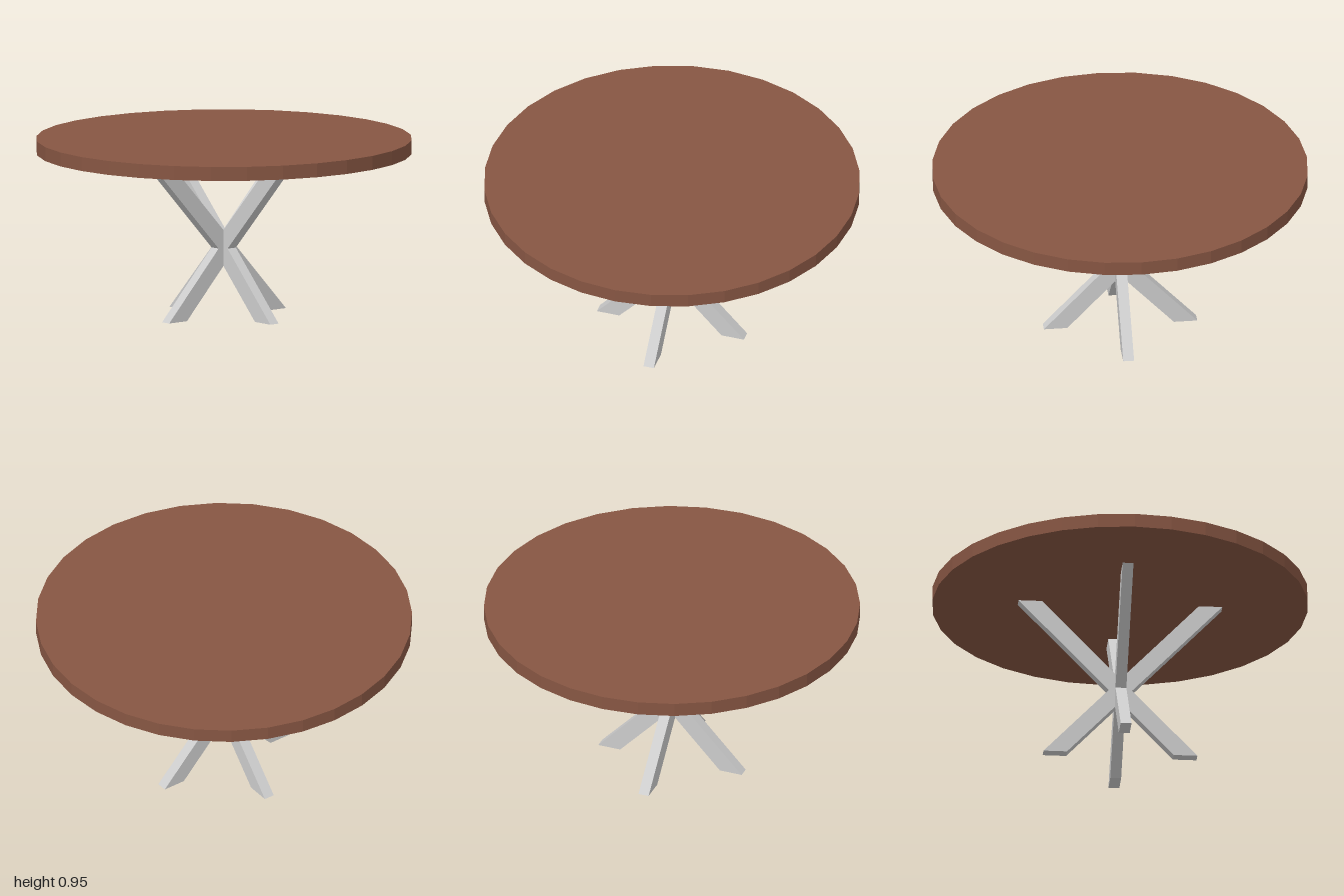
import * as THREE from 'three';

export function createModel() {
  const wood = new THREE.MeshStandardMaterial({ color: 0x875643, flatShading: true });
  wood.name = 'brown wood';
  const metal = new THREE.MeshStandardMaterial({ color: 0xcccccc, flatShading: true });
  metal.name = 'light grey metal';

  const table = new THREE.Group();
  table.name = 'roundTable';
  const underside = 0.877, top = 0.952, legWidth = 0.058;

  // Round slab with 32 straight sides
  const slab = new THREE.Mesh(new THREE.CylinderGeometry(1, 1, top - underside, 32), wood);
  slab.name = 'tableTop';
  slab.position.y = (top + underside) / 2;
  table.add(slab);

  // Slanted beam, cut level at the floor and under the top
  const profile = new THREE.Shape([
    new THREE.Vector2(-0.41, 0),
    new THREE.Vector2(-0.285, 0),
    new THREE.Vector2(0.543, underside),
    new THREE.Vector2(0.418, underside),
  ]);
  const beam = new THREE.ExtrudeGeometry(profile, { depth: legWidth, bevelEnabled: false });
  beam.translate(0, 0, -legWidth / 2);

  // Four beams crossing at the centre, a quarter turn apart
  const base = new THREE.Group();
  base.name = 'crossedLegs';
  for (let i = 0; i < 4; i++) {
    const leg = new THREE.Mesh(beam, metal);
    leg.name = `leg${i + 1}`;
    leg.rotation.y = (i * Math.PI) / 2;
    base.add(leg);
  }
  table.add(base);
  return table;
}
